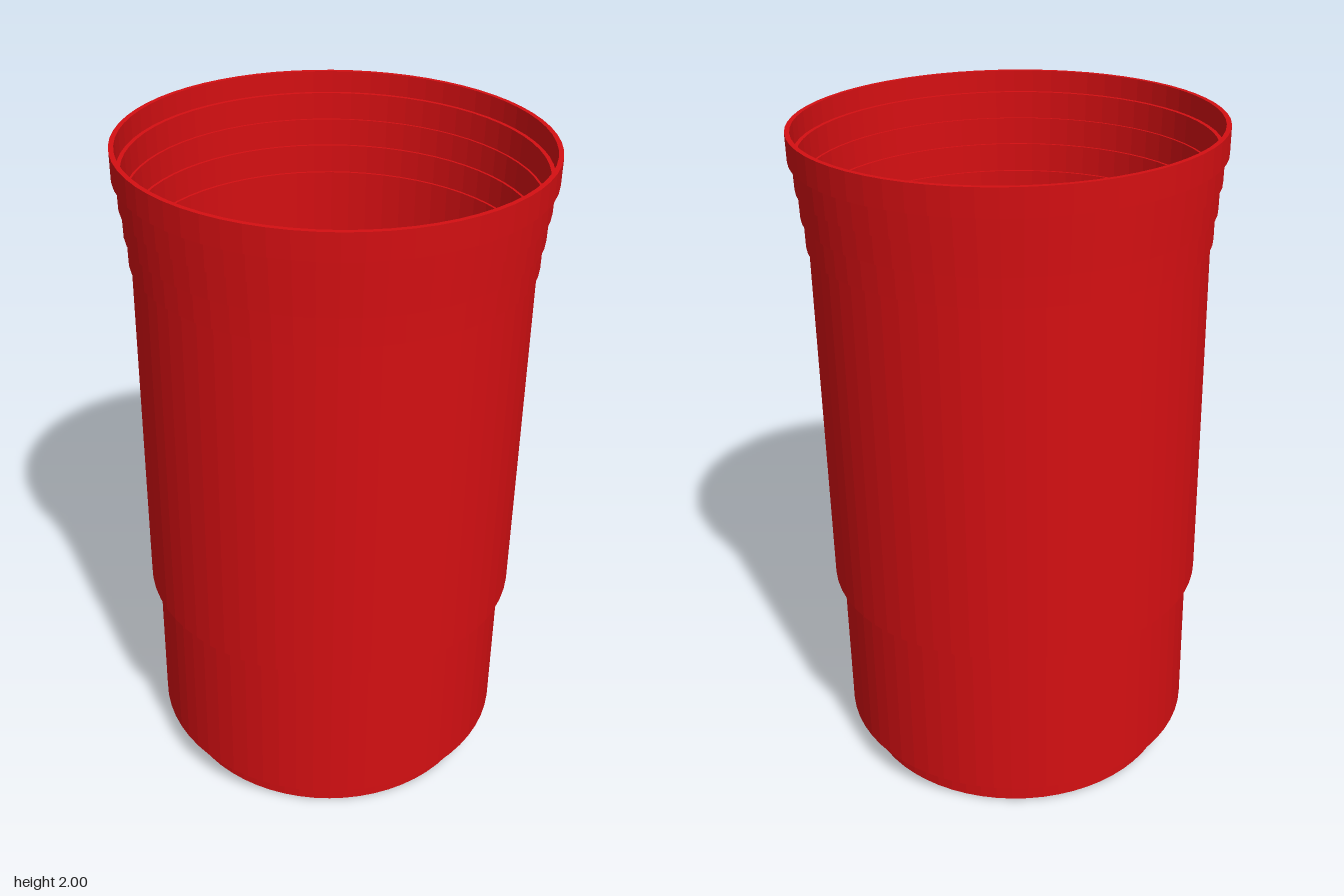
import * as THREE from 'three';

const SEGMENTS = 64;
const WALL = 0.014;
const HEIGHT = 1.983;
const TILT = 0.0155;

// Straight bands of the cup from the base up: [bottom height, lower radius, upper radius]
const BANDS = [
  [0, 0.493, 0.494],
  [0.085, 0.544, 0.544],
  [0.583, 0.569, 0.569],
  [1.66, 0.577, 0.578],
  [1.745, 0.586, 0.588],
  [1.825, 0.595, 0.597],
  [1.905, 0.609, 0.61],
];

// Stepped profile, from the base to the rim, moved inwards by the wall thickness
function steppedProfile(inset) {
  const points = [];
  BANDS.forEach(([bottom, r0, r1], i) => {
    const top = i + 1 < BANDS.length ? BANDS[i + 1][0] + inset : HEIGHT;
    points.push(new THREE.Vector2(r0 - inset, bottom + inset), new THREE.Vector2(r1 - inset, top));
  });
  return points;
}

export function createModel() {
  const model = new THREE.Group();
  model.name = 'cup';
  const material = new THREE.MeshStandardMaterial({ color: 0xd40f12, flatShading: true });

  const addLathe = (name, points) => {
    const mesh = new THREE.Mesh(new THREE.LatheGeometry(points, SEGMENTS), material);
    mesh.name = name;
    model.add(mesh);
  };

  const outer = steppedProfile(0);
  const inner = steppedProfile(WALL).reverse();

  // Outside wall with its ledges, rim and inside wall
  addLathe('outerWall', outer);
  addLathe('rim', [outer[outer.length - 1], inner[0]]);
  addLathe('innerWall', inner);

  // Flat underside and inside floor
  addLathe('underside', [new THREE.Vector2(0, 0), outer[0]]);
  addLathe('floor', [inner[inner.length - 1], new THREE.Vector2(0, WALL)]);

  // The cup leans slightly to its left
  model.rotation.z = -TILT;
  model.position.set(-HEIGHT * Math.sin(TILT), BANDS[0][1] * Math.sin(TILT), 0);
  return model;
}
